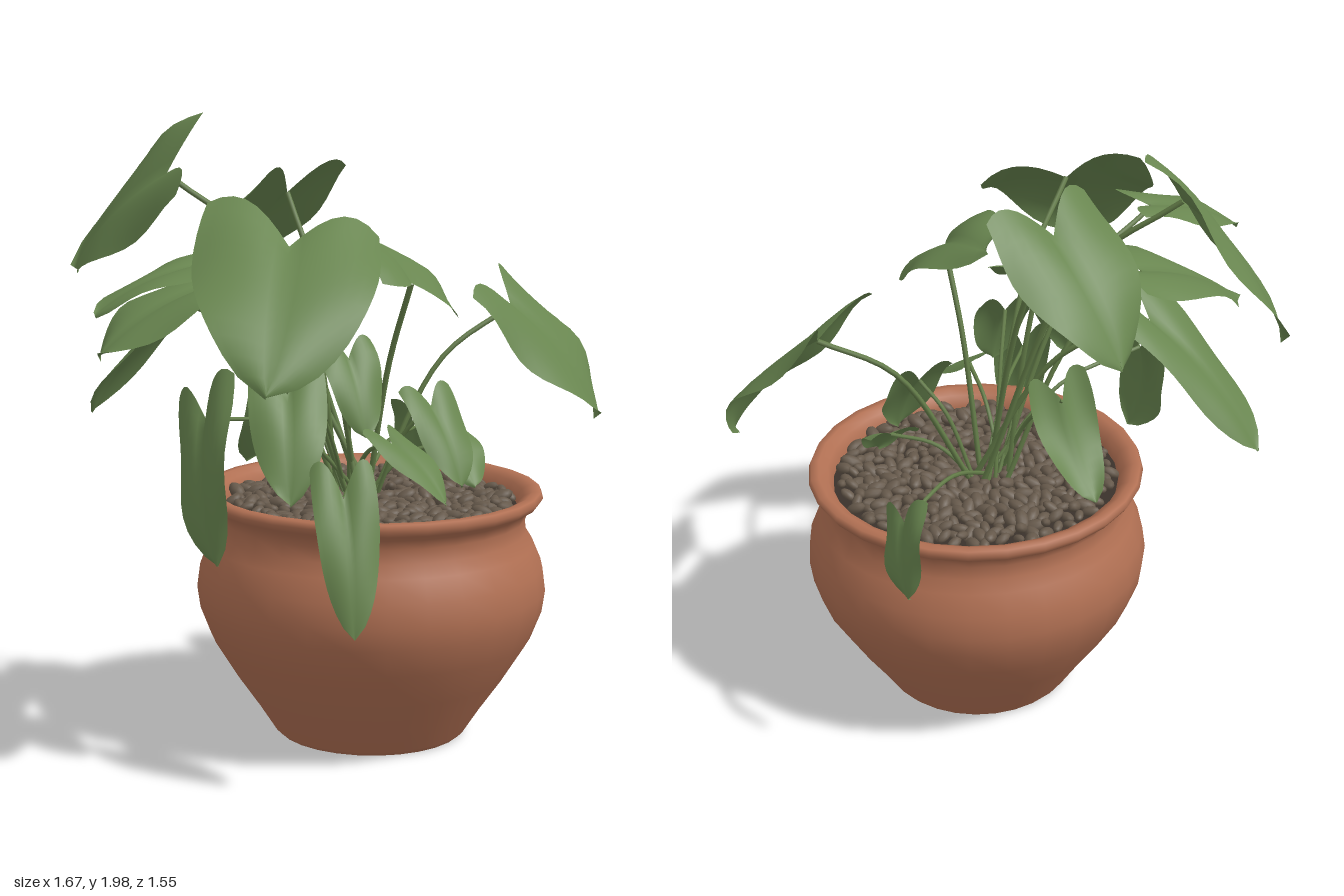
import * as THREE from 'three';
import { mergeGeometries } from 'three/addons/utils/BufferGeometryUtils.js';

const terracotta = new THREE.MeshStandardMaterial({ color: 0xb17053 });
const leafGreen = new THREE.MeshStandardMaterial({ color: 0x698650, side: THREE.DoubleSide });
const stemGreen = new THREE.MeshStandardMaterial({ color: 0x637c48 });
const pebbleBrown = new THREE.MeshStandardMaterial({ color: 0x66594b });
const soilBrown = new THREE.MeshStandardMaterial({ color: 0x3a322b });
Object.entries({ terracotta, leafGreen, stemGreen, pebbleBrown, soilBrown }).forEach(([n, m]) => { m.name = n; });

const POT = new THREE.Vector3(0.105, 0, 0.22);
const V = (a) => new THREE.Vector3(...a);

let seed = 7;
function rand() {
  seed = (seed * 16807) % 2147483647;
  return seed / 2147483647;
}

function add(parent, name, geometry, material) {
  const mesh = new THREE.Mesh(geometry, material);
  mesh.name = name;
  parent.add(mesh);
  return mesh;
}

// Heart-shaped blade from notch to tip; side points to one lobe
function leafGeometry(base, tip, width, side, phase) {
  const axis = tip.clone().sub(base);
  const length = axis.length();
  axis.normalize();
  const s = side ? V(side) : new THREE.Vector3(0, 1, 0).cross(axis);
  s.addScaledVector(axis, -s.dot(axis)).normalize();
  const n = axis.clone().cross(s);
  const rows = 12, cols = 14, pos = [], index = [];
  for (let i = 0; i <= rows; i++) {
    const t = i / rows;
    const half = width * 0.58 * Math.pow(1 - t, 0.75) * (0.8 + t);
    for (let j = 0; j <= cols; j++) {
      const v = (j / cols) * 2 - 1, a = Math.abs(v);
      const along = length * (t - 0.28 * Math.pow(1 - t, 1.5) * Math.sin(a * 2.2));
      const lift = length * 0.3 * t * (1 - t)                              // arch along the midrib
        + half * (0.22 * a - 0.3 * a * a)                                 // creased middle, drooping edge
        + width * 0.045 * a * a * Math.sin(t * 8 + phase + (v > 0 ? 2 : 0)); // wavy rim
      const p = base.clone().addScaledVector(axis, along)
        .addScaledVector(s, half * v).addScaledVector(n, lift);
      pos.push(p.x, p.y, p.z);
      if (i < rows && j < cols) {
        const k = i * (cols + 1) + j, m = k + cols + 1;
        index.push(k, m, k + 1, k + 1, m, m + 1);
      }
    }
  }
  const g = new THREE.BufferGeometry();
  g.setAttribute('position', new THREE.Float32BufferAttribute(pos, 3));
  g.setIndex(index);
  g.computeVertexNormals();
  return g;
}

// Arching stalk from the soil to the leaf notch
function stemGeometry(base, i) {
  const a = i * 2.4, r = 0.02 + 0.05 * rand();
  const foot = new THREE.Vector3(0.1 + Math.cos(a) * r, 0.74, 0.17 + Math.sin(a) * r);
  const mid = foot.clone().lerp(base, 0.5);
  mid.y += 0.04 + 0.35 * (base.y - foot.y) * Math.hypot(base.x - foot.x, base.z - foot.z);
  const curve = new THREE.CatmullRomCurve3([foot, mid, base]);
  return new THREE.TubeGeometry(curve, 14, base.y > 1.3 ? 0.009 : 0.007, 6);
}

// Leaves: notch, tip, width, optional direction of one lobe
const LEAVES = [
  ['backTopLeaf', [-0.2, 1.79, -0.36], [-0.18, 1.46, -0.76], 0.5, [-0.33, -0.33, 0.05]],
  ['backMiddleLeaf', [0.12, 1.72, -0.12], [0.16, 1.38, -0.42], 0.45],
  ['backRightLeaf', [-0.3, 1.45, -0.14], [-0.64, 1.27, -0.28], 0.4],
  ['backLowLeaf', [-0.17, 1.37, -0.27], [-0.25, 1.0, -0.64], 0.3],
  ['farRightLeaf', [-0.54, 1.55, 0.01], [-0.82, 1.43, -0.14], 0.26],
  ['largeRightLeaf', [-0.42, 1.62, 0.27], [-0.8, 1.25, 0.46], 0.56, [0.17, -0.18, 0.48]],
  ['upperFrontLeaf', [0.0, 1.48, 0.43], [0.14, 1.6, 0.13], 0.36, [-0.3, 0.12, -0.08]],
  ['centreLeaf', [-0.04, 1.47, 0.07], [-0.32, 1.28, 0.22], 0.32],
  ['largeLeftLeaf', [0.56, 1.35, 0.46], [0.68, 1.0, 0.73], 0.54, [0.5, 0.02, -0.13]],
  ['lowLeftLeaf', [0.63, 0.89, 0.05], [0.72, 0.69, -0.04], 0.24, [0.35, 0, -1]],
  ['innerRightLeaf', [-0.12, 1.25, 0.28], [-0.17, 1.02, 0.38], 0.2],
  ['lowFrontLeaf', [0.17, 1.07, 0.4], [0.13, 0.83, 0.54], 0.22],
  ['lowFrontRightLeaf', [-0.12, 1.0, 0.44], [-0.14, 0.84, 0.65], 0.18],
  ['lowFrontLeftLeaf', [0.31, 0.93, 0.4], [0.25, 0.81, 0.52], 0.18],
  ['hangingFrontLeaf', [-0.47, 0.9, 0.5], [-0.56, 0.51, 0.6], 0.2],
  ['middleRightLeaf', [-0.43, 1.18, 0.27], [-0.57, 0.88, 0.38], 0.24],
  ['hangingRightLeaf', [-0.45, 1.08, -0.02], [-0.6, 0.67, 0.13], 0.3, [-0.4, 0, 1]],
  ['lowBackLeaf', [0.05, 1.12, -0.1], [0.09, 0.83, -0.27], 0.22, [0.2, 0.1, 0.15]],
];

export function createModel() {
  const model = new THREE.Group();
  model.name = 'pottedPlant';

  // Round pot with flared rim and recessed foot
  const profile = [
    [0, 0.015], [0.27, 0.015], [0.285, 0], [0.3, 0], [0.315, 0.015], [0.37, 0.1], [0.44, 0.2],
    [0.515, 0.32], [0.55, 0.41], [0.56, 0.48], [0.55, 0.555], [0.52, 0.625], [0.495, 0.665],
    [0.492, 0.71], [0.502, 0.74], [0.535, 0.76], [0.548, 0.78], [0.54, 0.798], [0.515, 0.8],
    [0.485, 0.785], [0.468, 0.75], [0.465, 0.71],
  ].map(([r, y]) => new THREE.Vector2(r, y));
  add(model, 'pot', new THREE.LatheGeometry(profile, 28), terracotta).position.copy(POT);

  // Soil disc
  const soil = add(model, 'soil', new THREE.CircleGeometry(0.475, 28).rotateX(-Math.PI / 2), soilBrown);
  soil.position.set(POT.x, 0.742, POT.z);

  // Pebbles spread in a spiral over the soil
  const pebbles = [];
  const count = 400;
  for (let i = 0; i < count; i++) {
    const r = 0.445 * Math.sqrt((i + 0.5) / count), a = i * 2.39996;
    const size = 0.8 + 0.5 * rand();
    pebbles.push(new THREE.IcosahedronGeometry(1, 1)
      .scale(0.031 * size, 0.016 * size, 0.018 * size)
      .rotateZ((rand() - 0.5) * 1.2)
      .rotateY(rand() * Math.PI * 2)
      .translate(POT.x + r * Math.cos(a), 0.75 + 0.022 * rand(), POT.z + r * Math.sin(a)));
  }
  add(model, 'pebbles', mergeGeometries(pebbles), pebbleBrown);

  // Stems and leaves
  LEAVES.forEach(([name, base, tip, width, side], i) => {
    add(model, name, leafGeometry(V(base), V(tip), width, side, i * 1.7), leafGreen);
    add(model, name + 'Stem', stemGeometry(V(base), i), stemGreen);
  });

  return model;
}
